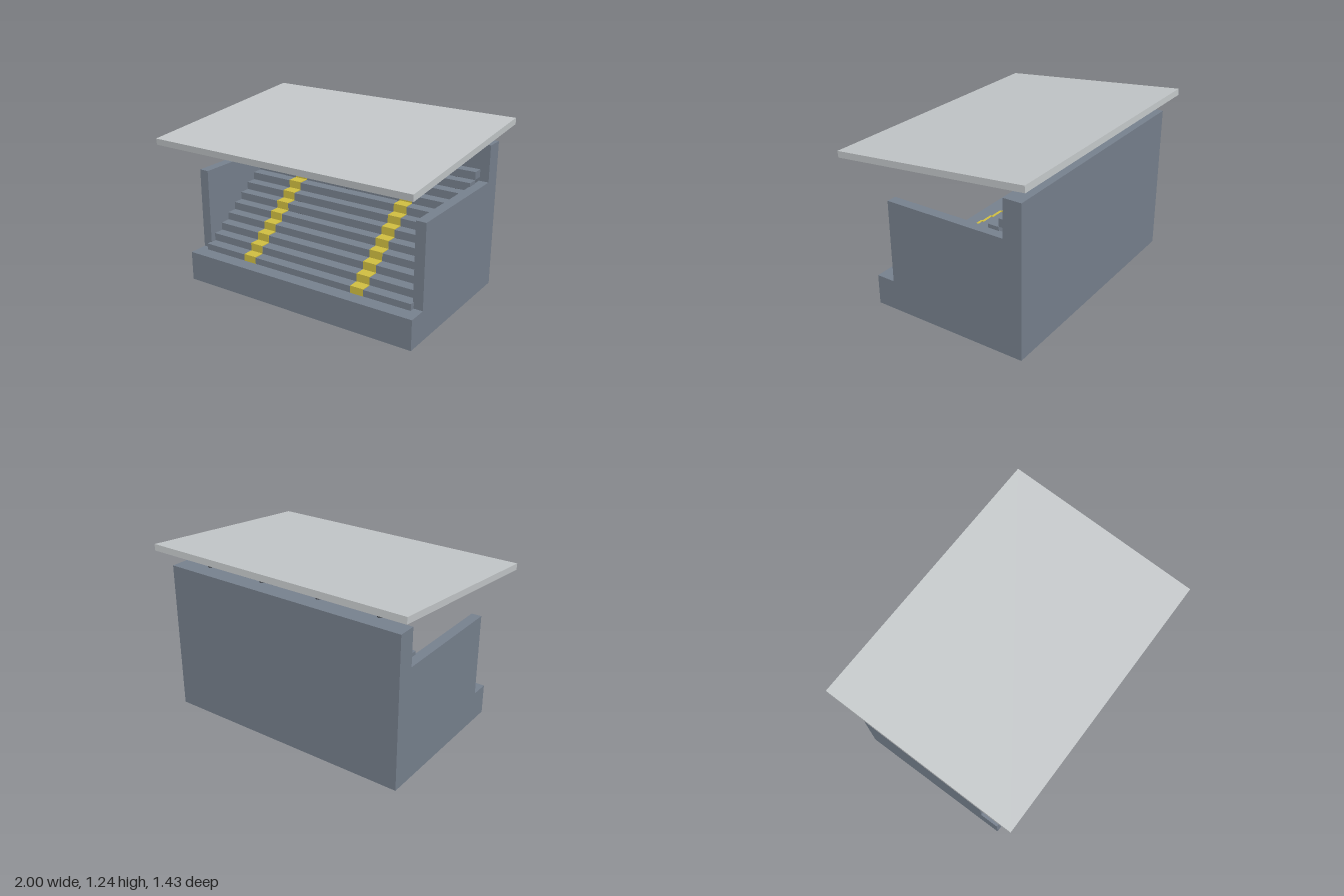
import * as THREE from 'three';

function material(name, color) {
  const m = new THREE.MeshStandardMaterial({ color });
  m.name = name;
  return m;
}

export function createModel() {
  const model = new THREE.Group();
  model.name = 'grandstand';
  const concrete = material('concrete grey', 0x78828f);
  const roofGrey = material('roof light grey', 0xc4c8ca);
  const yellow = material('aisle yellow', 0xd2c042);
  const steel = material('post dark grey', 0x565b62);

  // Box given by its limits on each axis
  function box(name, mat, [x0, x1], [y0, y1], [z0, z1]) {
    const mesh = new THREE.Mesh(new THREE.BoxGeometry(x1 - x0, y1 - y0, z1 - z0), mat);
    mesh.position.set((x0 + x1) / 2, (y0 + y1) / 2, (z0 + z1) / 2);
    mesh.name = name;
    model.add(mesh);
    return mesh;
  }

  // Base slab, back wall and side walls
  box('base', concrete, [-0.92, 0.92], [0, 0.217], [-0.637, 0.53]);
  box('backWall', concrete, [-0.92, 0.92], [0.217, 1.08], [-0.637, -0.506]);
  box('leftWall', concrete, [0.848, 0.92], [0.217, 0.815], [-0.506, 0.39]);
  box('rightWall', concrete, [-0.92, -0.848], [0.217, 0.815], [-0.506, 0.39]);

  // Thin stepped benches, open underneath, with two painted aisles
  const rows = 12, rise = 0.0577, run = 0.078;
  for (let i = 0; i < rows; i++) {
    const top = 0.264 + i * rise;
    const front = 0.428 - i * run;
    box('benchStep', concrete, [-0.854, 0.854], [top - 0.055, top], [front - 0.079, front]);
    for (const x of [-0.45, 0.45]) {
      box('aisleStep', yellow, [x - 0.05, x + 0.05], [top - 0.056, top + 0.005], [front - 0.077, front + 0.002]);
    }
  }

  // Roof posts
  for (const x of [-0.69, -0.23, 0.23, 0.69]) {
    const post = new THREE.Mesh(new THREE.CylinderGeometry(0.018, 0.02, 0.93, 8), steel);
    post.position.set(x, 0.68, -0.506);
    post.name = 'roofPost';
    model.add(post);
  }

  // Sloping roof, higher at the back
  const roof = box('roof', roofGrey, [-1, 1], [1.13, 1.175], [-0.716, 0.716]);
  roof.rotation.x = 0.0905;

  return model;
}
